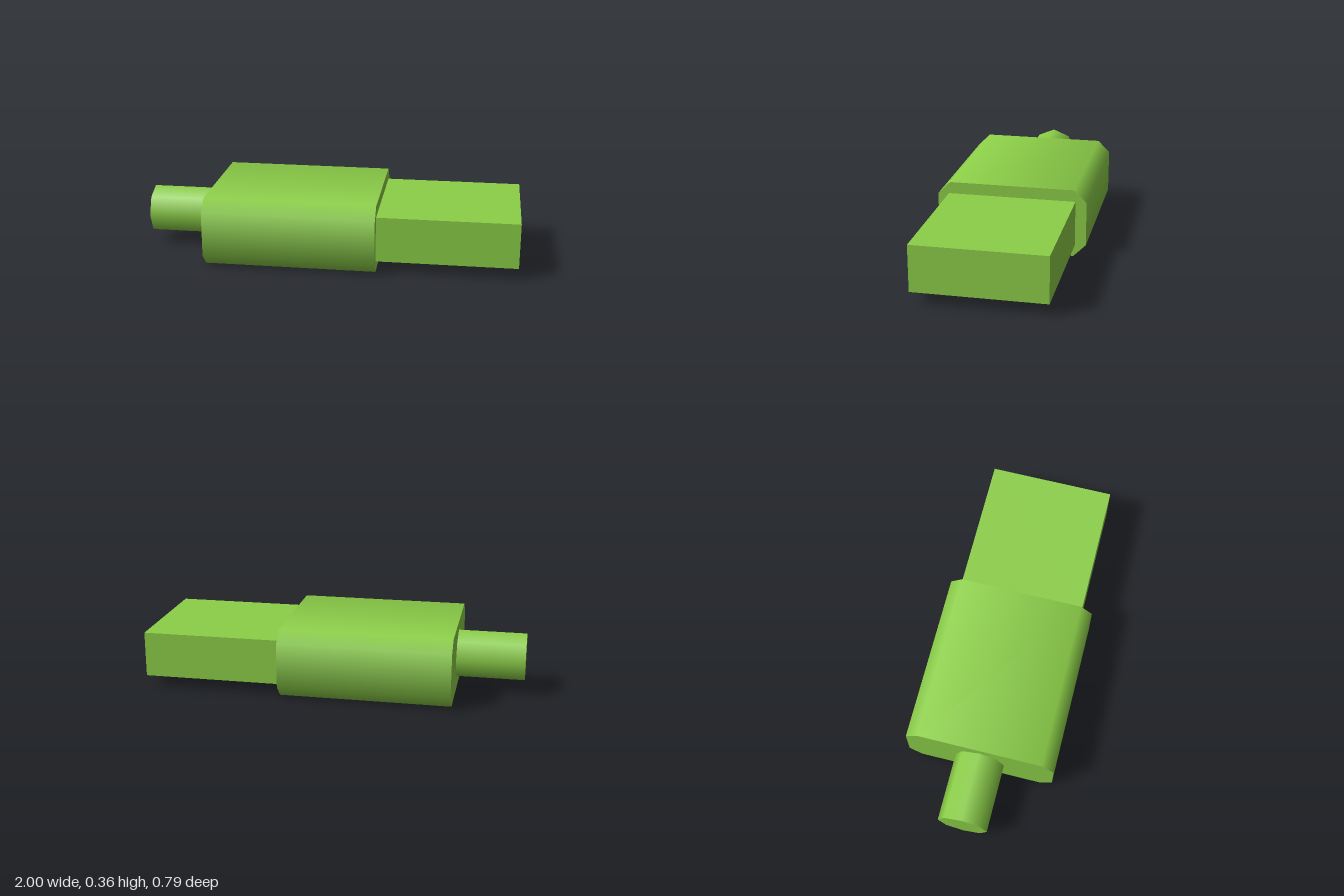
import * as THREE from 'three';

const MID_Y = 0.182;

// Smooth eight-sided bar along x; spreadY and spreadZ push its quarters apart
function octagonBar(name, material, radius, x0, x1, turn, spreadY = 0, spreadZ = 0) {
  const geometry = new THREE.CylinderGeometry(radius, radius, x1 - x0, 8, 1, false, turn);
  geometry.rotateZ(Math.PI / 2);
  const p = geometry.attributes.position;
  for (let i = 0; i < p.count; i++) {
    const y = p.getY(i), z = p.getZ(i);
    if (spreadY) p.setY(i, y + Math.sign(y) * (Math.abs(y) > 1e-5 ? spreadY : 0));
    if (spreadZ) p.setZ(i, z + Math.sign(z) * (Math.abs(z) > 1e-5 ? spreadZ : 0));
  }
  const mesh = new THREE.Mesh(geometry, material);
  mesh.name = name;
  mesh.position.set((x0 + x1) / 2, MID_Y, 0);
  return mesh;
}

export function createModel() {
  const group = new THREE.Group();
  group.name = 'plugConnector';
  const green = new THREE.MeshStandardMaterial({ color: 0x8ccf48 });
  green.name = 'leafGreen';

  // Wide chamfered housing and the round cable stub behind it
  group.add(octagonBar('housing', green, 0.12, -0.64, 0.265, Math.PI / 8, 0.071, 0.284));
  group.add(octagonBar('cableStub', green, 0.131, -1, -0.64, 0));

  // Flat rectangular plug
  const plug = new THREE.Mesh(new THREE.BoxGeometry(0.735, 0.24, 0.674), green);
  plug.name = 'plug';
  plug.position.set(0.6325, MID_Y, 0);
  group.add(plug);

  return group;
}
